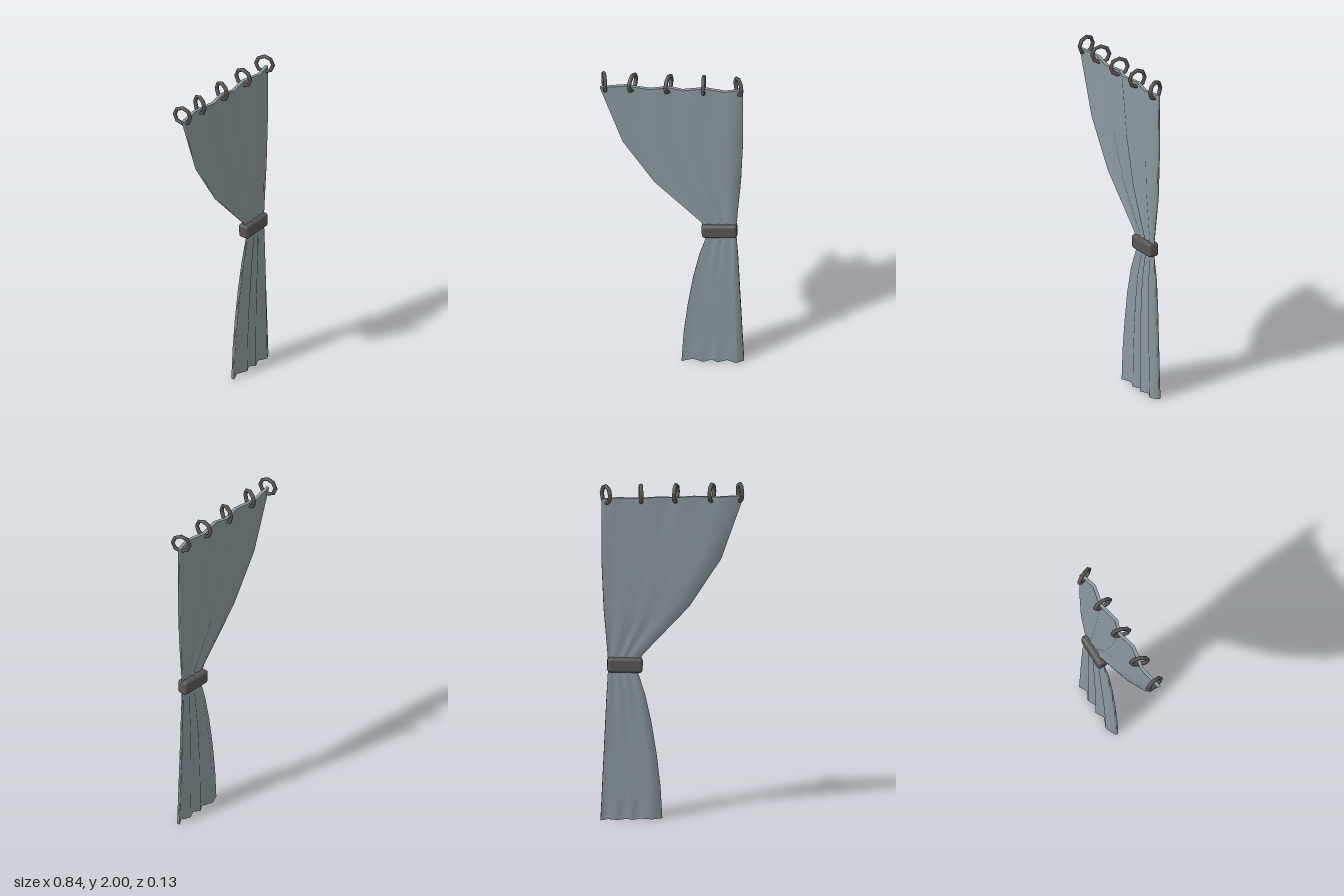
import * as THREE from 'three';
import { RoundedBoxGeometry } from 'three/addons/geometries/RoundedBoxGeometry.js';

const cloth = new THREE.MeshStandardMaterial({ color: 0x8b999f });
cloth.name = 'greyBlueCloth';
const dark = new THREE.MeshStandardMaterial({ color: 0x585655 });
dark.name = 'darkGrey';

// Outline of the cloth, bottom to top: [y, left edge, right edge, fold depth]
const ROWS = [
  [0, 0.057, 0.418, 1], [0.19, 0.068, 0.409, 1], [0.38, 0.09, 0.4, 1],
  [0.57, 0.12, 0.391, 1], [0.74, 0.157, 0.383, 0.85], [0.87, 0.198, 0.375, 0.4],
  [0.92, 0.205, 0.372, 0.3], [0.98, 0.17, 0.376, 0.4], [1.26, -0.1, 0.4, 0.95],
  [1.54, -0.285, 0.412, 1], [1.915, -0.418, 0.412, 1],
];
// Where the folds turn, as fractions of the width
const FOLDS = [0, 0.18, 0.35, 0.485, 0.575, 0.73, 0.875, 1];

function curtainGeometry() {
  const n = FOLDS.length, ring = 2 * n;
  const pos = [], index = [];
  // Closed cross-section: front left to right, then back right to left
  const addRow = ([y, x0, x1, depth]) => {
    const start = pos.length / 3;
    for (let j = 0; j < ring; j++) {
      const front = j < n;
      const k = front ? j : ring - 1 - j;
      const fold = k % 2 ? -0.0135 : 0.0135;
      const z = 0.007 + depth * (fold + (front ? 0.01 : -0.01));
      pos.push(x0 + (x1 - x0) * FOLDS[k], y, z);
    }
    return start;
  };
  const starts = ROWS.map(addRow);
  for (let i = 0; i < ROWS.length - 1; i++) {
    for (let j = 0; j < ring; j++) {
      const a = starts[i] + j, b = starts[i] + (j + 1) % ring;
      const d = starts[i + 1] + j, c = starts[i + 1] + (j + 1) % ring;
      index.push(a, b, c, a, c, d);
    }
  }
  // Hem and heading have their own corners so their edges stay sharp
  const hem = addRow(ROWS[0]), heading = addRow(ROWS[ROWS.length - 1]);
  for (let k = 0; k < n - 1; k++) {
    const q = [k, k + 1, ring - 2 - k, ring - 1 - k];
    const [a, b, c, d] = q.map((v) => v + heading);
    index.push(a, b, c, a, c, d);
    const [e, f, g, h] = q.map((v) => v + hem);
    index.push(e, g, f, e, h, g);
  }
  const geo = new THREE.BufferGeometry();
  geo.setAttribute('position', new THREE.Float32BufferAttribute(pos, 3));
  geo.setIndex(index);
  geo.computeVertexNormals();
  return geo;
}

export function createModel() {
  const model = new THREE.Group();
  model.name = 'tiedCurtain';

  const curtain = new THREE.Mesh(curtainGeometry(), cloth);
  curtain.name = 'curtain';
  model.add(curtain);

  // Tie band around the gathered cloth
  const band = new THREE.Mesh(new RoundedBoxGeometry(0.206, 0.086, 0.068, 3, 0.018), dark);
  band.name = 'tieBand';
  band.position.set(0.276, 0.921, 0.003);
  band.rotation.z = 0.04;
  model.add(band);

  // Hanging rings, each turned a little differently: [x, turn]
  const rings = new THREE.Group();
  rings.name = 'rings';
  const ringGeo = new THREE.TorusGeometry(0.051, 0.012, 6, 8).rotateY(Math.PI / 2);
  for (const [x, turn] of [[-0.394, 0.18], [-0.23, -0.36], [-0.021, -0.3], [0.183, 0], [0.386, 0.42]]) {
    const ring = new THREE.Mesh(ringGeo, dark);
    ring.name = 'ring';
    ring.position.set(x, 1.938, 0);
    ring.rotation.y = turn;
    rings.add(ring);
  }
  model.add(rings);
  return model;
}
